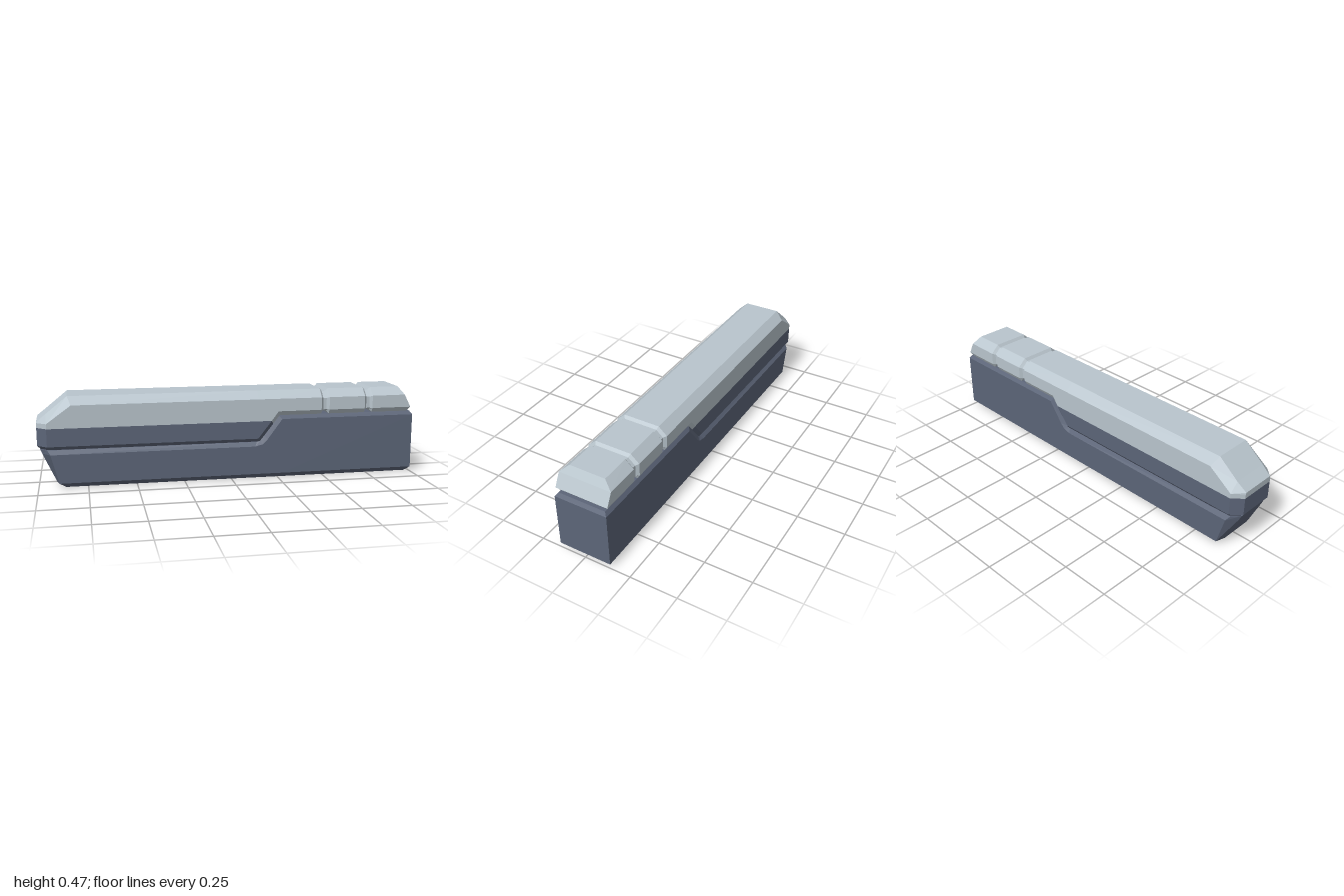
import * as THREE from 'three';

const light = new THREE.MeshStandardMaterial({ name: 'paleGrey', color: 0xb9c5cd });
const dark = new THREE.MeshStandardMaterial({ name: 'slateBlue', color: 0x5c6578 });

// Lofts half sections (points from bottom to top, +z side) along x, mirrored in z.
// isLight(section, band) picks the material: band -1 is the underside, the last is the top.
function loft(name, sections, isLight) {
  const buckets = [[], []];
  const mir = ([x, y, z]) => [x, y, -z];
  const tri = (out, a, b, c) => {
    const [A, B, C] = [a, b, c].map((p) => new THREE.Vector3(...p));
    if (B.sub(A).cross(C.sub(A)).length() > 1e-9) out.push(...a, ...b, ...c);
  };
  const quad = (lit, a, b, c, d) => {
    const out = buckets[lit ? 0 : 1];
    tri(out, a, b, c);
    tri(out, a, c, d);
  };
  const top = sections[0].length - 1;
  for (let i = 0; i < sections.length - 1; i++) {
    const p = sections[i], q = sections[i + 1];
    for (let j = 0; j < top; j++) {
      quad(isLight(i, j), p[j], q[j], q[j + 1], p[j + 1]);
      quad(isLight(i, j), mir(p[j + 1]), mir(q[j + 1]), mir(q[j]), mir(p[j]));
    }
    quad(isLight(i, top), p[top], q[top], mir(q[top]), mir(p[top]));
    quad(isLight(i, -1), mir(p[0]), mir(q[0]), q[0], p[0]);
  }
  // End caps, one strip per band
  const last = sections.length - 1;
  for (let j = 0; j < top; j++) {
    const p = sections[0], q = sections[last];
    quad(isLight(0, j), p[j + 1], mir(p[j + 1]), mir(p[j]), p[j]);
    quad(isLight(last, j), q[j], mir(q[j]), mir(q[j + 1]), q[j + 1]);
  }
  const geo = new THREE.BufferGeometry();
  geo.setAttribute('position', new THREE.Float32BufferAttribute(buckets.flat(), 3));
  const n = buckets[0].length / 3;
  if (n) geo.addGroup(0, n, 0);
  geo.addGroup(n, buckets[1].length / 3, 1);
  geo.computeVertexNormals();
  const mesh = new THREE.Mesh(geo, [light, dark]);
  mesh.name = name;
  return mesh;
}

function upperShell() {
  const W = 0.142;
  // x of the side, its lower edge, then x and y of the inset underside edge
  const station = (x, side, bx, by) => [
    [bx, by, 0.128], [x, side, W], [x, Math.max(0.31, side), W], [x, 0.427, W], [x, 0.468, 0.097]];
  const sections = [
    // Tapered, sloping nose
    [[-0.985, 0.199, 0.08], [-1, 0.217, 0.095], [-1, 0.31, 0.095], [-1, 0.335, 0.095], [-1, 0.342, 0.092]],
    [[-0.945, 0.199, 0.125], [-0.95, 0.217, W], [-0.95, 0.31, W], [-0.95, 0.336, W], [-0.95, 0.381, 0.097]],
    [[-0.83, 0.199, 0.128], [-0.825, 0.217, W], [-0.825, 0.31, W], [-0.825, 0.427, W], [-0.843, 0.468, 0.097]],
    // Step up over the raised rear of the base
    station(0.14, 0.217, 0.15, 0.199),
    station(0.212, 0.31, 0.225, 0.29),
    station(0.25, 0.36, 0.262, 0.337),
  ];
  // Two shallow grooves around the shell
  for (const x of [0.507, 0.748]) {
    const groove = (gx) => [
      [gx, 0.352, 0.118], [gx, 0.36, 0.128], [gx, 0.36, 0.128], [gx, 0.421, 0.128], [gx, 0.454, 0.091]];
    sections.push(station(x - 0.022, 0.36, x - 0.022, 0.337), groove(x - 0.009),
      groove(x + 0.009), station(x + 0.022, 0.36, x + 0.022, 0.337));
  }
  // Sloping rear end
  sections.push([[0.968, 0.337, 0.128], [0.987, 0.36, W], [0.987, 0.36, W], [0.952, 0.428, W], [0.927, 0.468, 0.097]]);
  return loft('upperShell', sections, (i, j) => i >= 4 || j >= 2);
}

function lowerBody() {
  const W = 0.142;
  // side edge x, y and inset top edge x, y
  const station = (x, y, tx, ty) => [[x, 0, 0.117], [x, 0.025, W], [x, y, W], [tx, ty, 0.128]];
  const sections = [
    // Undercut, tapered nose
    [[-0.87, 0, 0.085], [-0.907, 0.022, 0.09], [-0.977, 0.175, 0.09], [-0.986, 0.197, 0.085]],
    [[-0.862, 0, 0.117], [-0.895, 0.025, W], [-0.935, 0.175, W], [-0.95, 0.197, 0.125]],
    // Rounded step
    station(0.125, 0.175, 0.135, 0.197),
    station(0.165, 0.186, 0.155, 0.206),
    station(0.19, 0.21, 0.175, 0.23),
    station(0.27, 0.318, 0.252, 0.337),
    // Rear end
    [[0.975, 0, 0.117], [1, 0.025, W], [1, 0.318, W], [0.987, 0.337, 0.128]],
  ];
  return loft('lowerBody', sections, () => false);
}

export function createModel() {
  const model = new THREE.Group();
  model.name = 'steppedCase';
  model.add(upperShell(), lowerBody());
  return model;
}
